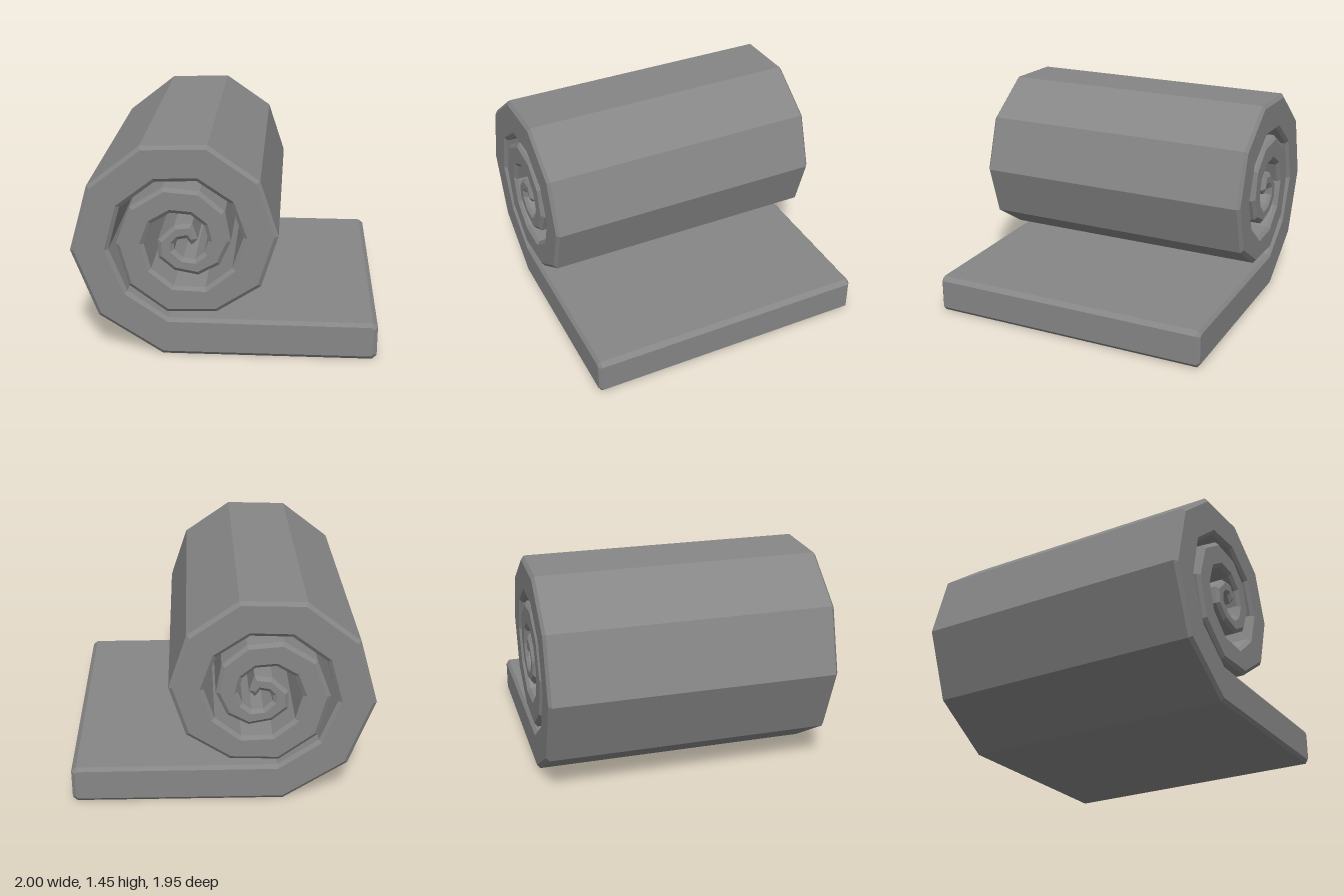
import * as THREE from 'three';

// Stations along the rolled sheet, from the flat part into the centre:
// [outer x, outer y, inner x, inner y]
const STATIONS = [
  [-0.41, 0, -0.365, 0.262], [-0.83, 0.27, -0.635, 0.447],
  [-1, 0.725, -0.75, 0.735], [-0.875, 1.165, -0.67, 1.025],
  [-0.53, 1.435, -0.44, 1.2], [-0.105, 1.447, -0.175, 1.21],
  [0.225, 1.217, 0.04, 1.065], [0.345, 0.85, 0.12, 0.835],
  [0.237, 0.503, 0.05, 0.625], [-0.05, 0.316, -0.125, 0.485],
  [-0.375, 0.305, -0.33, 0.492], [-0.625, 0.49, -0.475, 0.61],
  [-0.7, 0.775, -0.52, 0.78], [-0.605, 1.03, -0.467, 0.922],
  [-0.39, 1.165, -0.345, 0.995], [-0.155, 1.145, -0.215, 0.985],
  [0.005, 1.01, -0.128, 0.915], [0.042, 0.81, -0.102, 0.81],
  [-0.03, 0.65, -0.13, 0.73], [-0.17, 0.573, -0.19, 0.682],
  [-0.325, 0.603, -0.265, 0.69], [-0.427, 0.69, -0.323, 0.745],
  [-0.427, 0.81, -0.323, 0.785], [-0.32, 0.912, -0.295, 0.815],
  [-0.205, 0.927, -0.245, 0.825], [-0.17, 0.82, -0.21, 0.78],
];

const HALF_WIDTH = 0.975;
const BEVEL = 0.025;
const BEVEL_DEPTH = 0.02;

export function createModel() {
  const group = new THREE.Group();
  group.name = 'rolledMat';

  // Closed outline: chamfered flat end, outer side inwards, inner side back out
  const outline = [[1, 0.23], [1, 0.03], [0.97, 0]];
  for (const [x, y] of STATIONS) outline.push([x, y]);
  for (const [, , x, y] of [...STATIONS].reverse()) outline.push([x, y]);
  outline.push([0.968, 0.258]);
  const shape = new THREE.Shape(outline.map(([x, y]) => new THREE.Vector2(x, y)));

  // Extrude across the width with a single chamfer around both side faces
  const depth = 2 * (HALF_WIDTH - BEVEL_DEPTH);
  const geometry = new THREE.ExtrudeGeometry(shape, {
    depth,
    bevelEnabled: true,
    bevelSegments: 1,
    bevelThickness: BEVEL_DEPTH,
    bevelSize: BEVEL,
    bevelOffset: -BEVEL,
  });
  geometry.translate(0, 0, -depth / 2);

  const mat = new THREE.Mesh(
    geometry,
    new THREE.MeshStandardMaterial({ color: 0x868686, flatShading: true }),
  );
  mat.name = 'mat';
  group.add(mat);
  return group;
}
